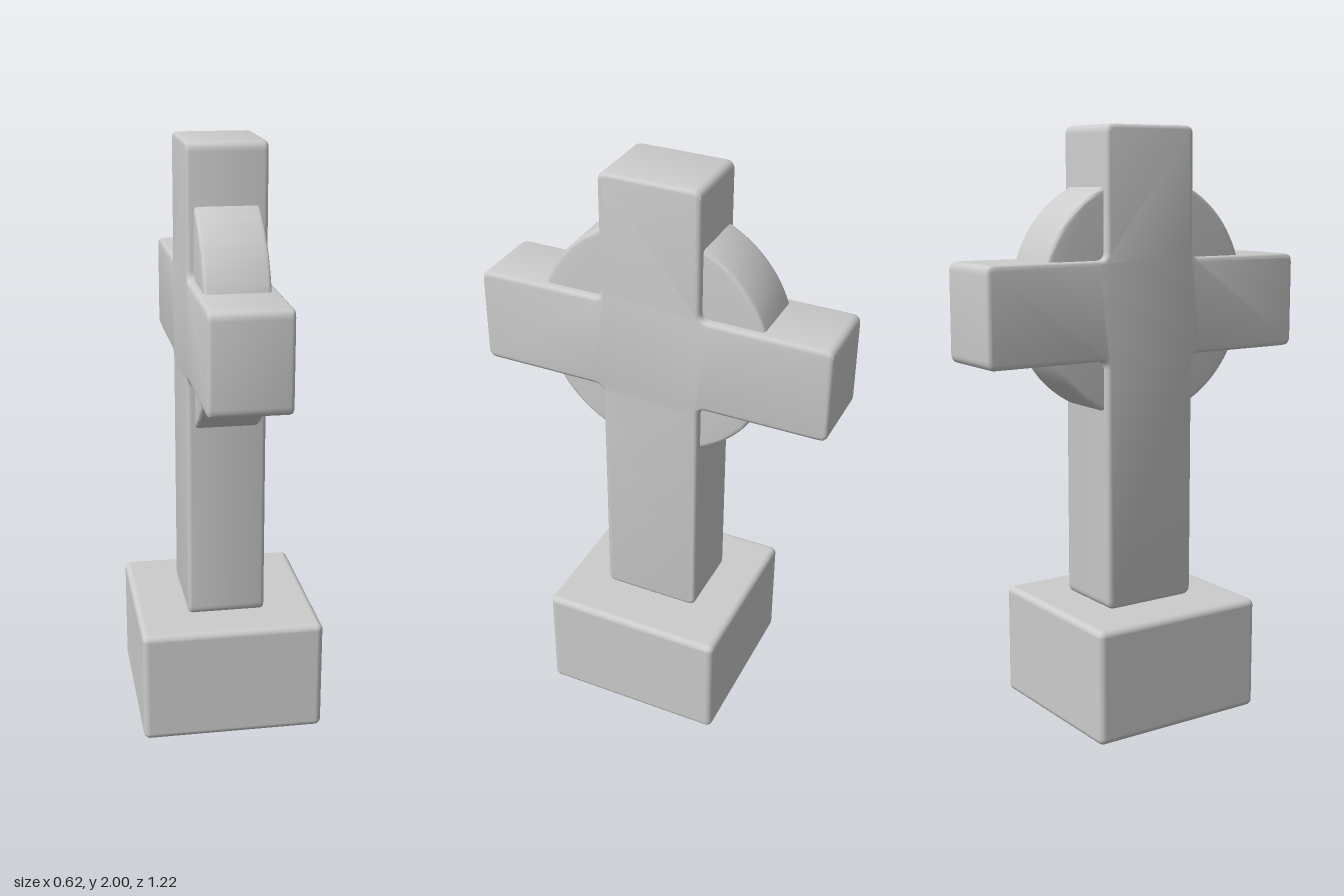
import * as THREE from 'three';
import { toCreasedNormals } from 'three/addons/utils/BufferGeometryUtils.js';
import { RoundedBoxGeometry } from 'three/addons/geometries/RoundedBoxGeometry.js';

const material = new THREE.MeshStandardMaterial({ color: 0xcccccc });

function addPart(group, name, geometry) {
  const mesh = new THREE.Mesh(geometry, material);
  mesh.name = name;
  group.add(mesh);
  return mesh;
}

// Closed outline whose corners are all softened by radius r
function roundedOutline(corners, r) {
  const pts = corners.map(([x, y]) => new THREE.Vector2(x, y));
  const shape = new THREE.Shape();
  pts.forEach((p, i) => {
    const prev = pts[(i + pts.length - 1) % pts.length];
    const next = pts[(i + 1) % pts.length];
    const a = p.clone().add(prev.clone().sub(p).setLength(r));
    const b = p.clone().add(next.clone().sub(p).setLength(r));
    if (i === 0) shape.moveTo(a.x, a.y);
    else shape.lineTo(a.x, a.y);
    shape.quadraticCurveTo(p.x, p.y, b.x, b.y);
  });
  shape.closePath();
  return shape;
}

// Slab of the given outline, bevelled on both faces, with its thickness along x
function slab(shape, x0, x1, bevel, curveSegments) {
  const geometry = new THREE.ExtrudeGeometry(shape, {
    depth: x1 - x0 - 2 * bevel,
    bevelThickness: bevel,
    bevelSize: bevel,
    bevelOffset: -bevel,
    bevelSegments: 3,
    curveSegments,
  });
  geometry.translate(0, 0, x0 + bevel).rotateY(Math.PI / 2);
  return toCreasedNormals(geometry, 0.6);
}

export function createModel() {
  const group = new THREE.Group();
  group.name = 'wheelCross';

  // Block the cross stands on
  addPart(group, 'base', new RoundedBoxGeometry(0.62, 0.39, 0.64, 4, 0.022))
    .position.set(0, 0.195, 0);

  // Upright and arms in one piece
  const w = 0.172, arm = 0.612, bottom = 0.39, low = 1.24, high = 1.567, top = 2;
  const cross = roundedOutline([
    [-w, bottom], [w, bottom], [w, low], [arm, low], [arm, high], [w, high],
    [w, top], [-w, top], [-w, high], [-arm, high], [-arm, low], [-w, low],
  ], 0.03);
  addPart(group, 'cross', slab(cross, -0.133, 0.131, 0.014, 5));

  // Solid disc behind the crossing, a little thinner than the cross
  const disc = new THREE.Shape().absarc(0, 1.436, 0.403, 0, Math.PI * 2);
  addPart(group, 'disc', slab(disc, -0.108, 0.104, 0.012, 48));

  return group;
}
